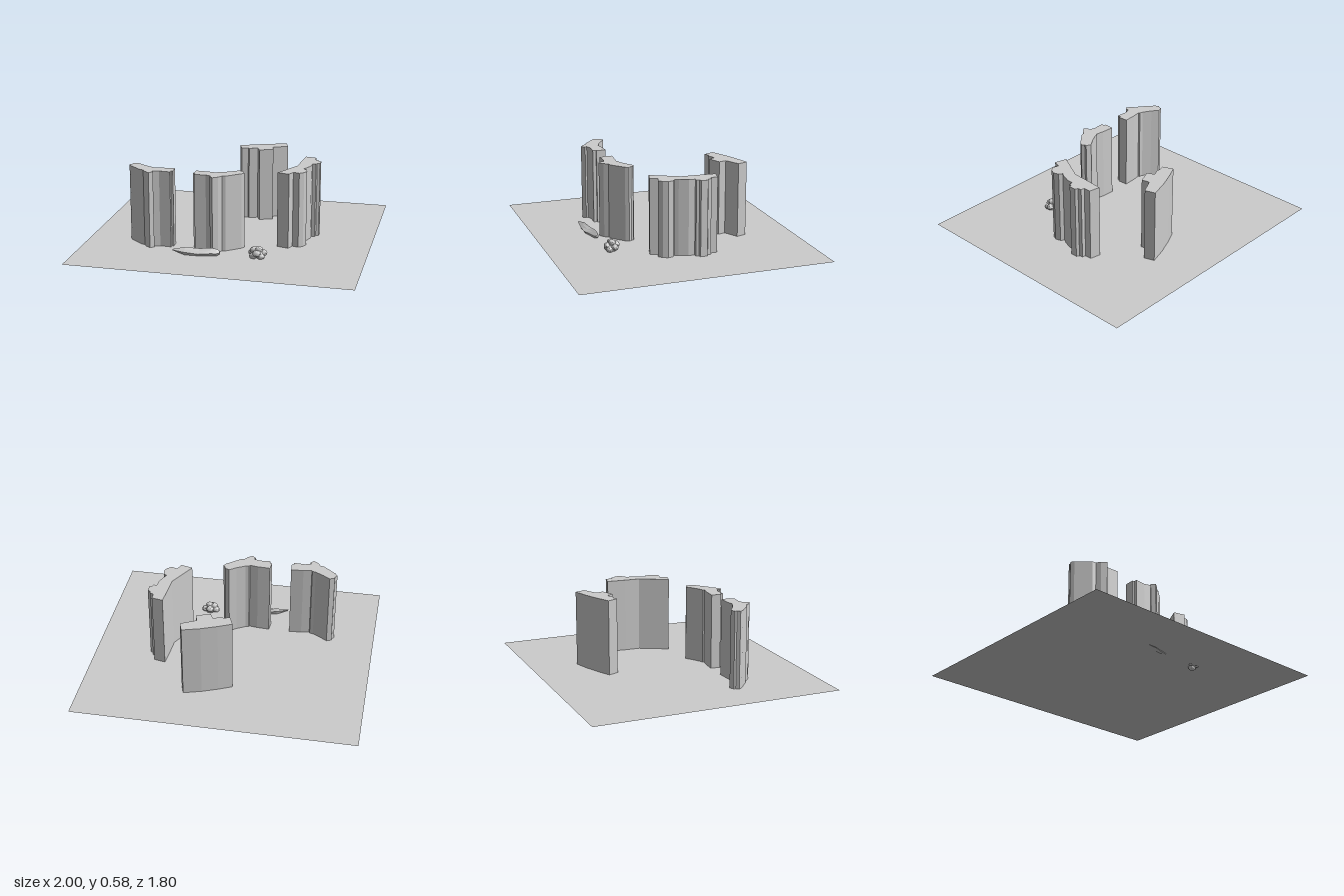
import * as THREE from 'three';

const grey = new THREE.MeshStandardMaterial({ color: 0xcccccc, flatShading: true, side: THREE.DoubleSide });
const GROUND = 0.025;

function add(group, name, geometry) {
  const mesh = new THREE.Mesh(geometry, grey);
  mesh.name = name;
  group.add(mesh);
  return mesh;
}

// Tower: a floor plan of [x, z] corners raised from the ground to the given top
function tower(plan, top) {
  const shape = new THREE.Shape(plan.map(([x, z]) => new THREE.Vector2(x, -z)));
  const geo = new THREE.ExtrudeGeometry(shape, { depth: top - GROUND, bevelEnabled: false });
  return geo.rotateX(-Math.PI / 2).translate(0, GROUND, 0);
}

// Shard: cross-sections [x, zBack, zFront, yLow, yHigh] joined in a loop
function shard(sections) {
  const n = 6, pos = [], idx = [];
  for (const [x, z0, z1, y0, y1] of sections) {
    const ring = [[0, 0.6], [0.25, 1], [0.6, 0.75], [1, 0.45], [0.75, 0], [0.2, 0]];
    for (const [u, v] of ring) pos.push(x, y0 + (y1 - y0) * v, z0 + (z1 - z0) * u);
  }
  for (let s = 0; s < sections.length - 1; s++) {
    for (let i = 0; i < n; i++) {
      const a = s * n + i, b = s * n + (i + 1) % n;
      idx.push(a, b, a + n, b, b + n, a + n);
    }
  }
  const last = (sections.length - 1) * n;
  for (let i = 1; i < n - 1; i++) {
    idx.push(0, i + 1, i, last, last + i, last + i + 1);
  }
  const geo = new THREE.BufferGeometry();
  geo.setAttribute('position', new THREE.Float32BufferAttribute(pos, 3));
  geo.setIndex(idx);
  geo.computeVertexNormals();
  return geo;
}

// Bush: a ball pulled out into knobs along a few directions
function bush() {
  const geo = new THREE.IcosahedronGeometry(1, 7);
  const tips = [
    [0.1, 0.5, -0.9], [1, 0.15, -0.3], [0.65, -0.35, 0.75], [-0.6, -0.3, 0.75],
    [-0.95, 0.1, -0.3], [0.25, 1, 0.1], [-0.6, 0.8, 0.1], [0.25, -1, 0], [0, 0.3, 1],
  ].map(t => new THREE.Vector3(...t).normalize());
  const p = geo.attributes.position, v = new THREE.Vector3();
  for (let i = 0; i < p.count; i++) {
    v.fromBufferAttribute(p, i).normalize();
    const near = Math.max(...tips.map(t => t.dot(v)));
    const knob = THREE.MathUtils.smoothstep(near, 0.72, 1);
    const r = 0.039 + 0.028 * knob + 0.0015 * Math.sin(v.x * 25) * Math.sin(v.y * 25 + v.z * 20);
    p.setXYZ(i, v.x * r, v.y * r * 0.8, v.z * r * 0.85);
  }
  geo.computeVertexNormals();
  return geo;
}

export function createModel() {
  const model = new THREE.Group();
  model.name = 'towerSite';

  // Thin ground sheet
  add(model, 'ground', new THREE.PlaneGeometry(2, 1.8).rotateX(-Math.PI / 2).translate(0, GROUND, 0));

  // Back tower with a gently curved rear wall
  add(model, 'backTower', tower([
    [-0.065, -0.43], [0.03, -0.475], [0.14, -0.52], [0.265, -0.558], [0.29, -0.485],
    [0.185, -0.43], [0.2, -0.375], [0.105, -0.335], [0.08, -0.385], [0.02, -0.36],
    [0.01, -0.37], [-0.035, -0.355],
  ], 0.57));

  // Side tower with two rounded bays
  add(model, 'sideTower', tower([
    [0.47, -0.235], [0.55, -0.22], [0.55, -0.17], [0.575, -0.165], [0.58, -0.14], [0.6, -0.13],
    [0.6, -0.08], [0.58, -0.075], [0.575, -0.055], [0.55, -0.055], [0.55, -0.01], [0.525, 0.055],
    [0.51, 0.08], [0.535, 0.095], [0.545, 0.135], [0.53, 0.17], [0.5, 0.195], [0.455, 0.18],
    [0.435, 0.233], [0.35, 0.21], [0.455, 0.01], [0.46, -0.1],
  ], 0.57));

  // Pair of bent front towers, mirrored about the line between them
  const bent = [
    [-0.21, 0.3], [-0.12, 0.305], [-0.06, 0.315], [-0.055, 0.305], [-0.03, 0.3], [0.03, 0.265],
    [0.08, 0.23], [0.115, 0.245], [0.115, 0.26], [0.13, 0.28], [0.115, 0.305], [0.02, 0.385],
    [-0.005, 0.39], [-0.025, 0.42], [-0.06, 0.445], [-0.085, 0.42], [-0.075, 0.405],
    [-0.12, 0.39], [-0.2, 0.395], [-0.2, 0.37], [-0.215, 0.37],
  ];
  add(model, 'frontTowerLeft', tower(bent, 0.572));
  add(model, 'frontTowerRight', tower(bent.map(([x, z]) => [-0.575 - x, z]), 0.578));

  // Faceted leaf-like shard lying on the ground
  add(model, 'groundShard', shard([
    [-0.325, 0.526, 0.534, 0.054, 0.062],
    [-0.24, 0.495, 0.54, 0.026, 0.076],
    [-0.14, 0.473, 0.54, 0.022, 0.068],
    [-0.06, 0.467, 0.515, 0.02, 0.075],
    [-0.02, 0.467, 0.502, 0.022, 0.068],
    [0, 0.47, 0.494, 0.036, 0.056],
  ]));

  // Knobbly bush
  add(model, 'bush', bush()).position.set(0.263, 0.052, 0.453);

  return model;
}
